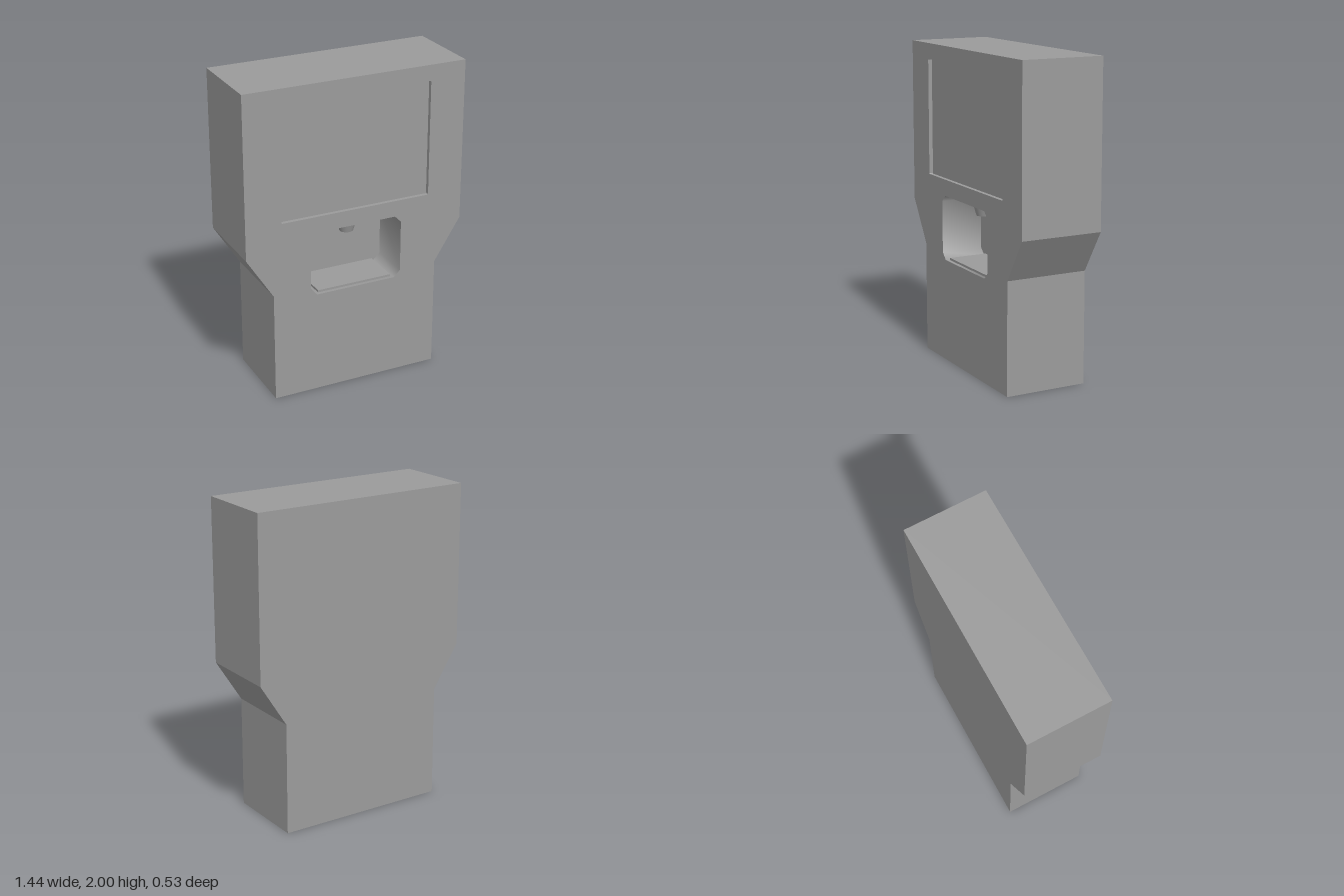
import * as THREE from 'three';
import { toCreasedNormals } from 'three/addons/utils/BufferGeometryUtils.js';

const Z = 0.263;          // half depth of the cabinet
const SCREEN_Z = 0.238;   // floor of the screen recess
const NICHE_Z = -0.01;    // back wall of the dispensing niche

const material = new THREE.MeshStandardMaterial({ color: 0x9b9b9b });

const toShape = (pts) => new THREE.Shape(pts.map(([x, y]) => new THREE.Vector2(x, y)));

// Counter-clockwise rectangle, centred on x = 0, with cut corners
function cutRect(w, y0, y1, c) {
  return [
    [-w + c, y0], [w - c, y0], [w, y0 + c], [w, y1 - c],
    [w - c, y1], [-w + c, y1], [-w, y1 - c], [-w, y0 + c],
  ];
}

// Wall along a closed outline from z0 to z1, facing out of a counter-clockwise loop
function wall(pts, z0, z1) {
  const pos = [];
  pts.forEach(([ax, ay], i) => {
    const [bx, by] = pts[(i + 1) % pts.length];
    pos.push(ax, ay, z0, bx, by, z0, bx, by, z1, ax, ay, z0, bx, by, z1, ax, ay, z1);
  });
  const geo = new THREE.BufferGeometry();
  geo.setAttribute('position', new THREE.Float32BufferAttribute(pos, 3));
  geo.computeVertexNormals();
  return geo;
}

export function createModel() {
  const model = new THREE.Group();
  const add = (name, geo, parent = model) => {
    const mesh = new THREE.Mesh(geo, material);
    mesh.name = name;
    parent.add(mesh);
    return mesh;
  };

  const outline = [
    [-0.548, 0], [0.548, 0], [0.548, 0.705], [0.719, 0.975],
    [0.719, 2], [-0.719, 2], [-0.719, 0.975], [-0.548, 0.705],
  ];
  const screen = cutRect(0.489, 1.17, 1.9, 0.004);
  const niche = cutRect(0.304, 0.655, 1.067, 0.042);

  // Cabinet shell
  const cabinet = new THREE.Group();
  cabinet.name = 'cabinet';
  model.add(cabinet);
  const front = toShape(outline);
  front.holes.push(toShape(screen), toShape(niche));
  add('frontPanel', new THREE.ShapeGeometry(front).translate(0, 0, Z), cabinet);
  add('backPanel', new THREE.ShapeGeometry(toShape(outline)).rotateY(Math.PI).translate(0, 0, -Z), cabinet);
  add('sideWalls', wall(outline, -Z, Z), cabinet);

  // Shallow screen recess
  add('screenFrame', wall([...screen].reverse(), SCREEN_Z, Z));
  add('screen', new THREE.ShapeGeometry(toShape(screen)).translate(0, 0, SCREEN_Z));

  // Deep niche, shaded smoothly round its corners
  add('nicheWalls', toCreasedNormals(wall([...niche].reverse(), NICHE_Z, Z), Math.PI / 3));
  add('nicheBack', new THREE.ShapeGeometry(toShape(niche)).translate(0, 0, NICHE_Z));

  // Drip tray on the niche floor, set back a little from the front
  const trayDepth = 0.24 - NICHE_Z;
  add('dripTray', new THREE.BoxGeometry(0.494, 0.014, trayDepth))
    .position.set(0, 0.662, NICHE_Z + trayDepth / 2);

  // Nozzle hanging from the niche ceiling
  const nozzle = new THREE.Group();
  nozzle.name = 'nozzle';
  nozzle.position.set(-0.003, 0, 0.13);
  model.add(nozzle);
  add('nozzleCollar', new THREE.CylinderGeometry(0.08, 0.08, 0.02, 32), nozzle).position.y = 1.057;
  add('nozzleSpout', new THREE.CylinderGeometry(0.063, 0.043, 0.067, 32), nozzle).position.y = 1.0135;

  return model;
}
